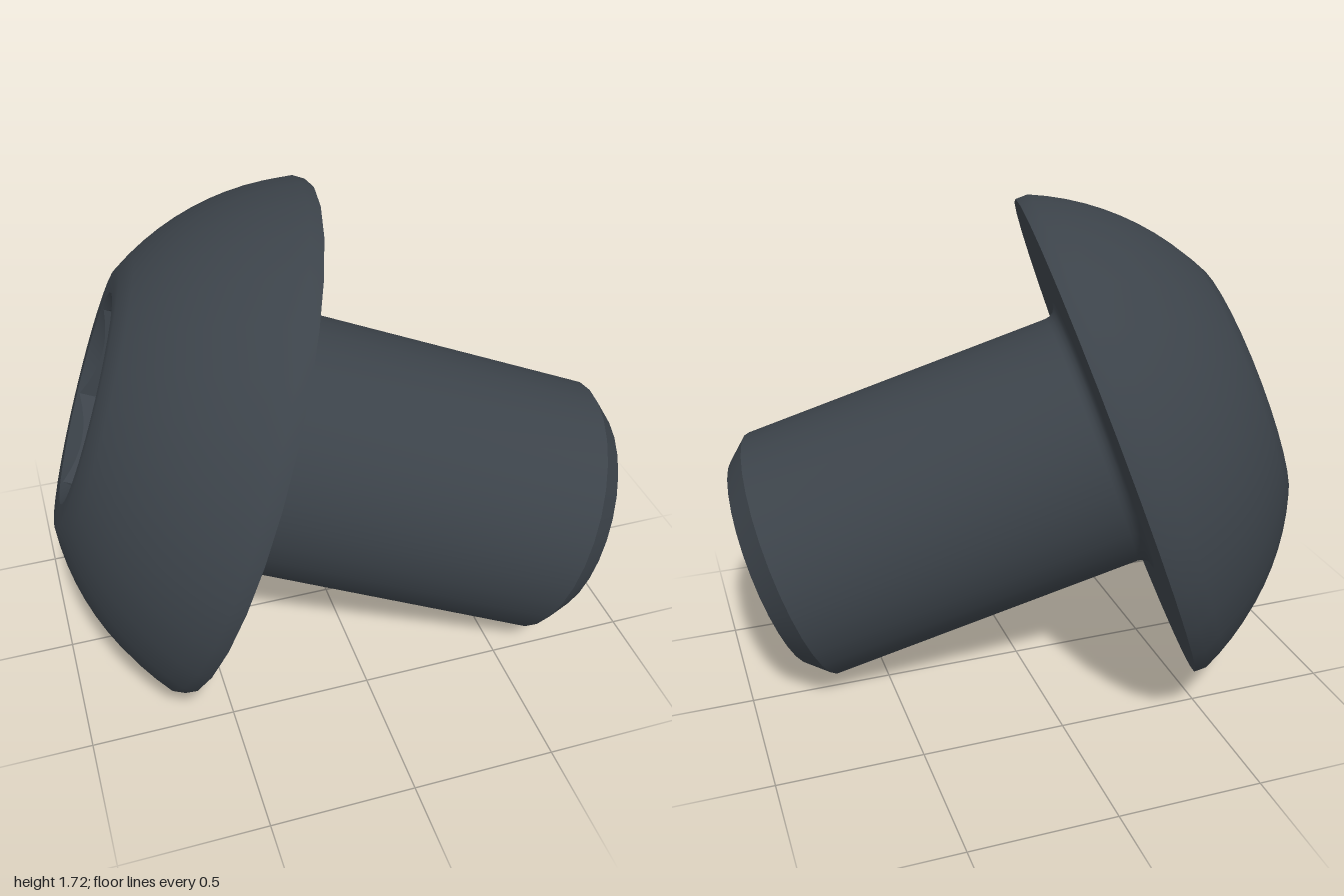
import * as THREE from 'three';
import { toCreasedNormals } from 'three/addons/utils/BufferGeometryUtils.js';

const SIDES = 32;
const CREASE = 0.55;

// Lathe from [radius, height] pairs, listed bottom to top
function turned(name, points, material) {
  const lathe = new THREE.LatheGeometry(points.map(([r, y]) => new THREE.Vector2(r, y)), SIDES);
  const mesh = new THREE.Mesh(toCreasedNormals(lathe, CREASE), material);
  mesh.name = name;
  return mesh;
}

// Hexagonal recess: countersink cone, six walls and a flat floor
function hexSocket(rimRadius, cornerRadius, top, depth, turn, material) {
  const perSide = 8, n = perSide * 6;
  const apothem = cornerRadius * Math.cos(Math.PI / 6);
  const positions = [], index = [];
  for (let ring = 0; ring < 4; ring++) {
    for (let j = 0; j <= n; j++) {
      const angle = (j / n) * Math.PI * 2;
      const local = ((j % perSide) / perSide) * Math.PI / 3 - Math.PI / 6;
      const hex = apothem / Math.cos(local);
      const r = [rimRadius, hex, hex, 0][ring];
      const y = [top, top - (rimRadius - hex) * 0.8, top - depth, top - depth][ring];
      positions.push(r * Math.cos(angle + turn), y, r * Math.sin(angle + turn));
      if (ring < 3 && j < n) {
        const a = ring * (n + 1) + j, b = a + 1, c = a + n + 1, d = c + 1;
        index.push(a, c, b);
        if (ring < 2) index.push(b, c, d);
      }
    }
  }
  const geometry = new THREE.BufferGeometry();
  geometry.setAttribute('position', new THREE.Float32BufferAttribute(positions, 3));
  geometry.setIndex(index);
  const mesh = new THREE.Mesh(toCreasedNormals(geometry, CREASE), material);
  mesh.name = 'hexSocket';
  return mesh;
}

export function createModel() {
  const steel = new THREE.MeshStandardMaterial({ color: 0x3c434a });
  steel.name = 'dark steel';

  // Shank with chamfered tip and a small fillet under the head
  const shank = [[0, -1.288], [0.4, -1.288], [0.47, -1.205]];
  const fillet = 0.045;
  for (let i = 0; i <= 4; i++) {
    const a = (i / 4) * Math.PI / 2;
    shank.push([0.47 + fillet * (1 - Math.cos(a)), -fillet + fillet * Math.sin(a)]);
  }

  // Domed head: flat underside, thin rim, spherical dome, flat top ring
  const head = [[0.51, 0], [0.905, 0]];
  const centreY = -0.348, domeRadius = 0.9866;
  const start = Math.acos(0.905 / domeRadius), end = Math.acos(0.45 / domeRadius);
  for (let i = 0; i <= 10; i++) {
    const a = start + (end - start) * (i / 10);
    head.push([domeRadius * Math.cos(a), centreY + domeRadius * Math.sin(a)]);
  }
  const top = head[head.length - 1][1];
  head.push([0.368, top]);

  // Bolt axis points out of the head along local +y
  const axis = new THREE.Vector3(-0.922, 0.3365, -0.192).normalize();
  const side = new THREE.Vector3(-axis.z, 0, axis.x).normalize();
  const bolt = new THREE.Group();
  bolt.name = 'bolt';
  bolt.add(
    turned('shank', shank, steel),
    turned('head', head, steel),
    hexSocket(0.37, 0.36, top, 0.4, THREE.MathUtils.degToRad(27.5), steel)
  );
  bolt.quaternion.setFromRotationMatrix(
    new THREE.Matrix4().makeBasis(side, axis, side.clone().cross(axis))
  );
  bolt.position.set(-0.335, 0.853, 0.005);

  const model = new THREE.Group();
  model.name = 'buttonHeadBolt';
  model.add(bolt);
  return model;
}
